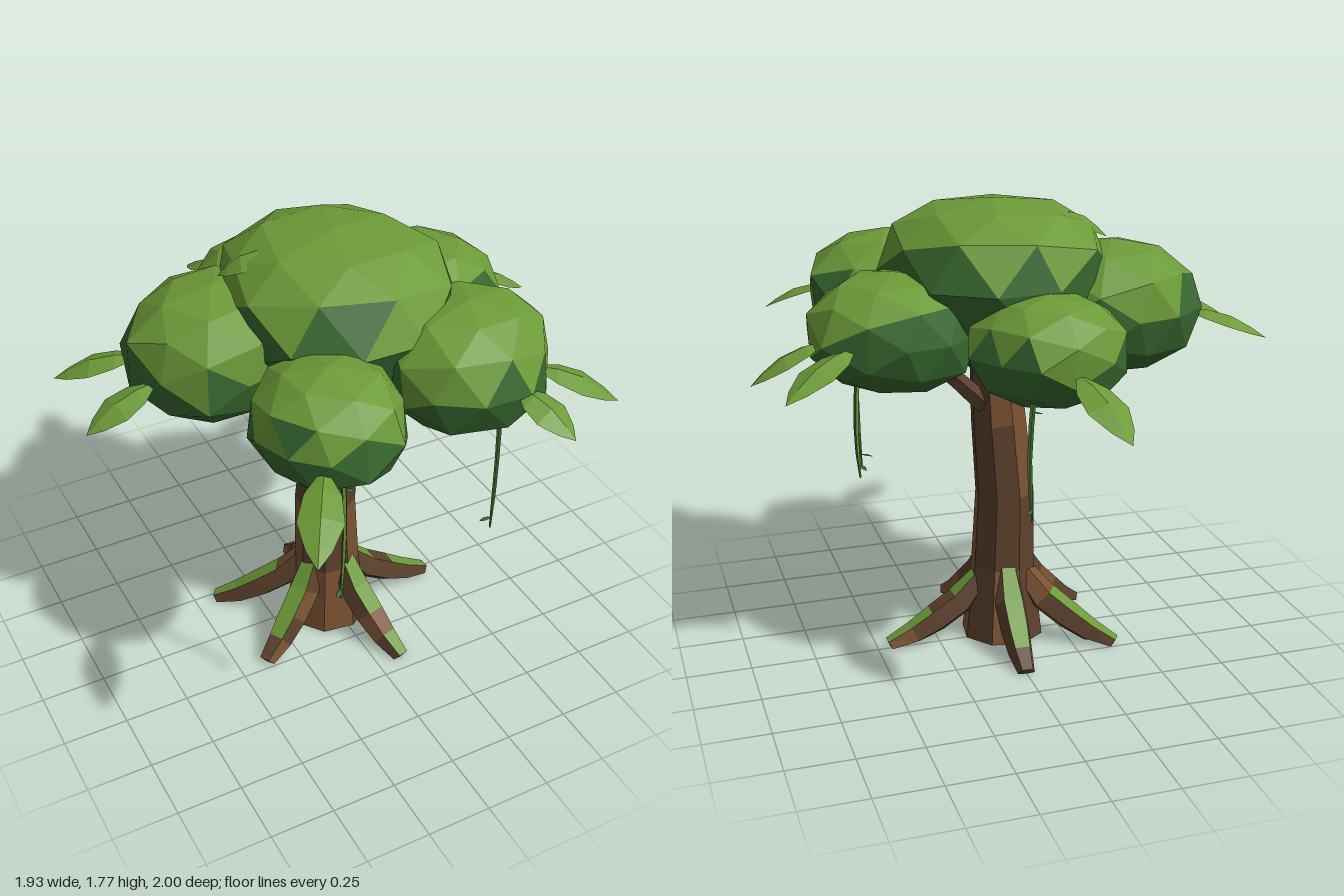
import * as THREE from 'three';

const mat = (name, color) => {
  const m = new THREE.MeshStandardMaterial({ color, flatShading: true, side: THREE.DoubleSide });
  m.name = name;
  return m;
};
const V = (x, y, z) => new THREE.Vector3(x, y, z);
// Repeatable noise in 0..1 from three numbers
const noise = (a, b, c) => {
  const s = Math.sin(a * 12.99 + b * 78.23 + c * 37.72) * 43758.54;
  return s - Math.floor(s);
};

// Geometry from triangles, each filed under a material index
function fromFaces(faces, count) {
  const pos = [];
  const geo = new THREE.BufferGeometry();
  for (let k = 0; k < count; k++) {
    const start = pos.length / 3;
    for (const f of faces) if (f.k === k) f.p.forEach((p) => pos.push(p.x, p.y, p.z));
    geo.addGroup(start, pos.length / 3 - start, k);
  }
  geo.setAttribute('position', new THREE.Float32BufferAttribute(pos, 3));
  geo.computeVertexNormals();
  return geo;
}

// Faceted sweep through points with a radius each; pick(segment, side) chooses the material
function sweep(points, radii, sides, ref, pick, turn = 0, count = 3) {
  const n = points.length;
  const rings = points.map((c, i) => {
    const t = points[Math.min(i + 1, n - 1)].clone().sub(points[Math.max(i - 1, 0)]).normalize();
    const u = ref.clone().cross(t).normalize();
    const v = t.clone().cross(u);
    return Array.from({ length: sides }, (_, j) => {
      const a = turn + (j / sides) * Math.PI * 2;
      const p = c.clone().addScaledVector(u, Math.cos(a) * radii[i]).addScaledVector(v, Math.sin(a) * radii[i]);
      p.y = Math.max(p.y, 0);
      return p;
    });
  });
  const faces = [];
  for (let j = 0; j < sides; j++) {
    const m = (j + 1) % sides;
    for (let i = 0; i < n - 1; i++) {
      const [a, b, c, d] = [rings[i][j], rings[i][m], rings[i + 1][m], rings[i + 1][j]];
      const k = pick(i, j);
      faces.push({ k, p: [a, b, c] }, { k, p: [a, c, d] });
    }
    const s = points[0].clone(), e = points[n - 1].clone();
    s.y = Math.max(s.y, 0);
    faces.push({ k: 0, p: [s, rings[0][m], rings[0][j]] }, { k: 0, p: [e, rings[n - 1][j], rings[n - 1][m]] });
  }
  return fromFaces(faces, count);
}

// Squashed, uneven ball of leaves: light above the given height, dark beneath, with ragged patches
function leafBall(rx, ry, rz, seed, boxiness, lightFrom) {
  const ico = new THREE.IcosahedronGeometry(1, 1).getAttribute('position');
  const faces = [];
  for (let i = 0; i < ico.count; i += 3) {
    const p = [0, 1, 2].map((o) => {
      const q = new THREE.Vector3().fromBufferAttribute(ico, i + o).applyAxisAngle(V(0, 1, 0), seed);
      const [hx, hy, hz] = [0, 1, 2].map((c) => Math.round(ico.getComponent(i + o, c) * 50) / 50);
      const r = 0.95 + 0.13 * noise(hx + seed, hy, hz);
      const y = Math.sign(q.y) * Math.pow(Math.abs(q.y), boxiness);
      return V(q.x * rx * r, y * ry * (0.8 + 0.2 * r), q.z * rz * r);
    });
    const h = (p[0].y + p[1].y + p[2].y) / 3 / ry;
    faces.push({ k: h + (noise(i, seed, 3) - 0.5) * 0.55 > lightFrom ? 0 : 1, p });
  }
  return fromFaces(faces, 2);
}

// Drooping leaf folded along its middle rib
function leafBlade(from, to, half) {
  const across = to.clone().sub(from).setY(0).normalize().cross(V(0, 1, 0));
  const rows = [[0, 0.2], [0.25, 0.8], [0.55, 1], [0.82, 0.55], [1, 0]].map(([t, w]) => {
    const c = from.clone().lerp(to, t);
    c.y += half * 0.45 * Math.sin(t * Math.PI);
    const edge = (s) => c.clone().addScaledVector(across, s * w * half).add(V(0, -0.33 * w * half, 0));
    return [edge(-1), c, edge(1)];
  });
  const faces = [];
  for (let i = 0; i < rows.length - 1; i++) {
    for (const s of [0, 1]) {
      const [a, b, c, d] = [rows[i][s], rows[i][s + 1], rows[i + 1][s + 1], rows[i + 1][s]];
      faces.push({ k: 0, p: [a, b, c] }, { k: 0, p: [a, c, d] });
    }
  }
  return fromFaces(faces, 1);
}

export function createModel() {
  const tree = new THREE.Group();
  tree.name = 'tree';
  const darkBark = mat('darkBark', 0x5c412d);
  const lightBark = mat('lightBark', 0x7a5232);
  const leafGreen = mat('leafGreen', 0x6c9a38);
  const deepGreen = mat('deepGreen', 0x386930);
  const wood = [darkBark, lightBark, leafGreen];
  const add = (name, geo, material) => {
    const m = new THREE.Mesh(geo, material);
    m.name = name;
    tree.add(m);
    return m;
  };
  const bark = (seed) => (i, j) => (noise(i, j, seed) > 0.7 ? 1 : 0);

  // Trunk, gently bent
  const trunkPath = [V(-0.02, 0, 0.03), V(-0.025, 0.3, 0.04), V(-0.035, 0.6, 0.045), V(-0.012, 0.9, 0.05), V(0.005, 1.15, 0.05), V(0.01, 1.35, 0.05)];
  add('trunk', sweep(trunkPath, [0.165, 0.128, 0.118, 0.11, 0.097, 0.085], 8, V(0, 0, 1), bark(5), 0.25), wood);

  // Buttress roots: tip x, tip z, height at the trunk, mossy segments
  const roots = [
    [0.1, 0.43, 0.33, [0, 1, 3]],
    [0.44, 0.02, 0.25, [0, 2, 3]],
    [0, -0.35, 0.3, [0, 1, 2]],
    [-0.4, -0.22, 0.27, [1, 2, 3]],
    [-0.38, 0.21, 0.33, [0, 1, 2]],
  ];
  roots.forEach(([x, z, top, moss], n) => {
    const at = (f, y) => V(-0.02 + (x + 0.02) * f, y, 0.03 + (z - 0.03) * f);
    const path = [at(0.2, top), at(0.38, top * 0.62), at(0.6, top * 0.36), at(0.8, top * 0.16), at(1.02, 0)];
    const pick = (i, j) => (j === 0 && moss.includes(i) ? 2 : bark(n + 2)(i, j));
    add('root', sweep(path, [0.045, 0.062, 0.06, 0.05, 0.035], 5, V(0, 1, 0), pick, Math.PI * 0.3), wood);
  });

  // Leaf masses: centre, radii, seed
  const masses = [
    [0.01, 1.5, 0.03, 0.43, 0.265, 0.44, 1.3],
    [-0.42, 1.36, -0.07, 0.325, 0.25, 0.32, 2.1],
    [-0.255, 1.33, 0.49, 0.275, 0.215, 0.285, 3.7],
    [0.33, 1.355, 0.42, 0.32, 0.245, 0.3, 4.4],
    [0.43, 1.33, -0.1, 0.31, 0.22, 0.3, 5.2],
    [-0.05, 1.305, -0.42, 0.28, 0.2, 0.275, 6.9],
  ];
  masses.forEach(([x, y, z, rx, ry, rz, seed], n) => {
    const ball = n ? leafBall(rx, ry, rz, seed, 0.85, 0.22) : leafBall(rx, ry, rz, seed, 0.68, 0.38);
    add(n ? 'outerFoliage' : 'crownFoliage', ball, [leafGreen, deepGreen]).position.set(x, y, z);
  });

  // Short branches into the outer masses: start x, y, z, end x, y, z
  const branches = [
    [-0.05, 1.1, 0.03, -0.32, 1.27, -0.05],
    [-0.04, 1.11, 0.09, -0.2, 1.27, 0.37],
    [0.05, 1.12, 0.09, 0.25, 1.28, 0.32],
    [0.06, 0.98, 0.02, 0.34, 1.24, -0.08],
    [0, 1.12, 0.01, -0.04, 1.27, -0.32],
  ];
  branches.forEach(([a, b, c, d, e, f], n) => {
    const start = V(a, b, c), end = V(d, e, f);
    const bend = start.clone().lerp(end, 0.45).add(V(0, 0.01, 0));
    add('branch', sweep([start, bend, end], [0.042, 0.034, 0.028], 5, V(0, 1, 0), bark(n)), wood);
  });

  // Large leaves around the canopy: base, tip
  const blades = [
    [-0.08, 1.28, -0.66, -0.14, 1.14, -1.0],
    [0.62, 1.33, -0.28, 0.89, 1.21, -0.48],
    [0.69, 1.32, -0.13, 0.96, 1.18, -0.14],
    [0.53, 1.35, 0.58, 0.77, 1.23, 0.75],
    [0.39, 1.36, 0.68, 0.47, 1.26, 0.91],
    [-0.38, 1.29, 0.7, -0.56, 1.17, 1.0],
    [-0.7, 1.33, 0.02, -0.97, 1.22, 0.06],
    [-0.69, 1.34, -0.16, -0.96, 1.24, -0.3],
    [-0.22, 1.71, -0.02, -0.39, 1.62, -0.09],
  ];
  for (const [a, b, c, d, e, f] of blades) {
    add('leaf', leafBlade(V(a, b, c), V(d, e, f), 0.078), leafGreen);
  }

  // Hanging vines with tiny leaflets: x, z, bottom
  [[-0.265, 0.61, 0.61], [0.44, 0.5, 0.59], [0.58, -0.16, 0.8], [0.05, -0.56, 0.72]].forEach(([x, z, low], n) => {
    const path = [0, 0.25, 0.5, 0.75, 1].map((t) =>
      V(x + 0.012 * Math.sin(t * 3.1), 1.2 + (low - 1.2) * t, z + 0.004 * Math.cos(t * 4 + n)));
    const pick = (i, j) => (j + n) % 2;
    add('vine', sweep(path, [0.01, 0.01, 0.009, 0.008, 0.004], 5, V(0, 0, 1), pick, 0, 2), [deepGreen, leafGreen]);
    [1, 4].forEach((i, s) => {
      const p = path[i].clone().add(V(0, 0.05, 0));
      const a = s * 2.4 + n;
      add('vineLeaflet', leafBlade(p, p.clone().add(V(Math.cos(a) * 0.045, -0.01, Math.sin(a) * 0.045)), 0.01), deepGreen);
    });
  });
  return tree;
}
